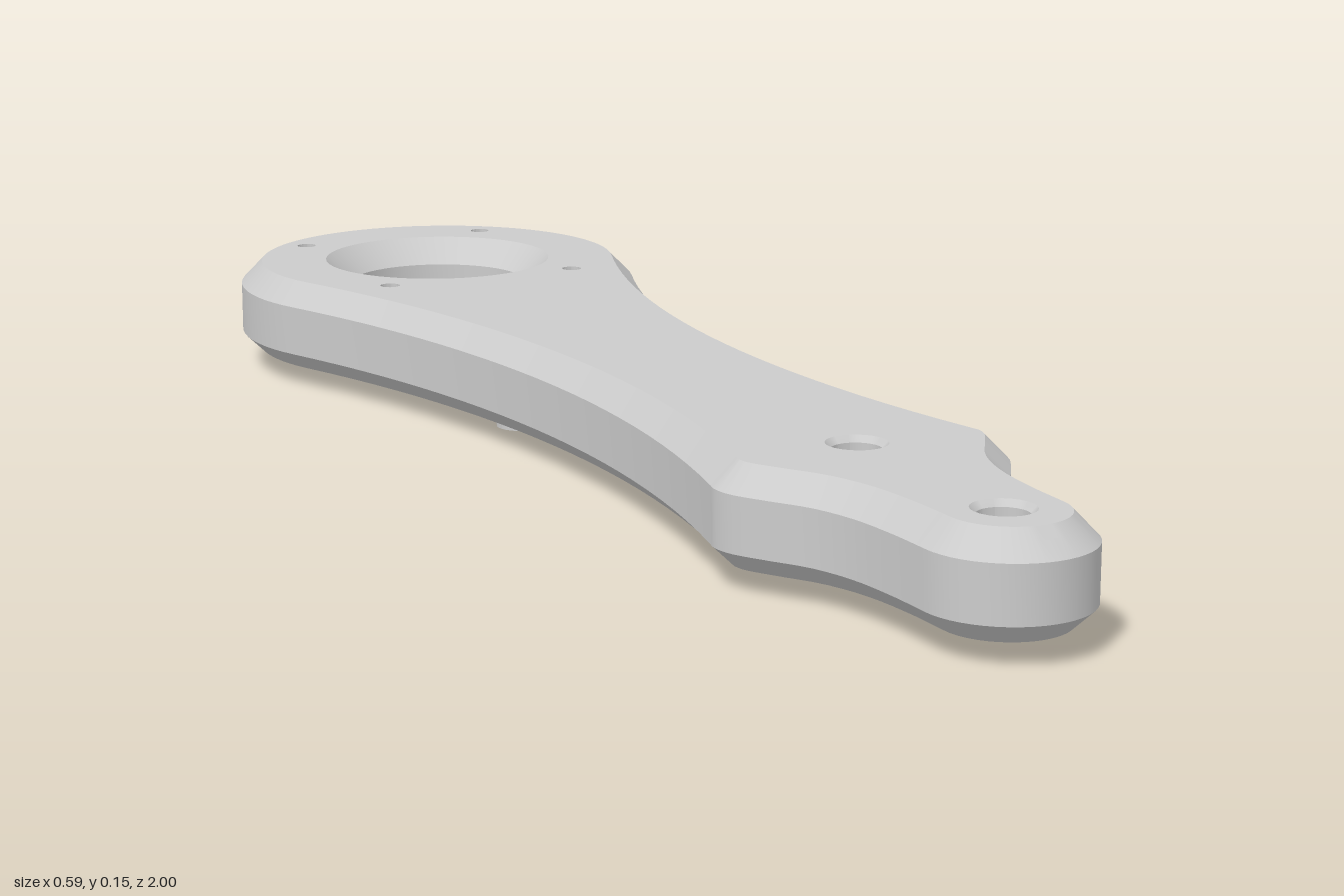
import * as THREE from 'three';
import { mergeGeometries, toCreasedNormals } from 'three/addons/utils/BufferGeometryUtils.js';

const material = new THREE.MeshStandardMaterial({ color: 0xcccccc });
const BOTTOM = 0.027, TOP = 0.154, CREASE = 0.5;
const HEAD = { z: -0.705, r: 0.295 };
const TIP = { z: 0.897, r: 0.103 };

// Points on an arc in the x/z plane
function arc(cx, cz, r, from, to, n) {
  return Array.from({ length: n + 1 }, (_, i) => {
    const a = from + (to - from) * i / n;
    return new THREE.Vector2(cx + r * Math.cos(a), cz + r * Math.sin(a));
  });
}

// Closed outline: head, long concave flank, shoulder, neck, rounded tip, then mirrored
function outline() {
  const wx = 2.088, wz = 0.12, flankR = 1.95;
  const join = Math.atan2(wz - HEAD.z, wx);
  const neck = new THREE.SplineCurve([
    [0.188, 0.56], [0.192, 0.58], [0.186, 0.61], [0.163, 0.65], [0.132, 0.70],
    [0.113, 0.76], [0.105, 0.83], [TIP.r, TIP.z],
  ].map(([x, z]) => new THREE.Vector2(x, z)));
  const half = [
    ...arc(0, HEAD.z, HEAD.r, -Math.PI / 2, join, 24),
    ...arc(wx, wz, flankR, Math.PI + join, Math.PI - 0.227, 24).slice(1),
    ...neck.getPoints(24).slice(1),
    ...arc(0, TIP.z, TIP.r, 0, Math.PI / 2, 12).slice(1),
  ];
  const mirrored = half.slice(1, -1).reverse().map(p => new THREE.Vector2(-p.x, p.y));
  return [...half, ...mirrored];
}

// Move the outline inwards along its normals
function inset(points, d) {
  const n = points.length;
  return points.map((p, i) => {
    const t = points[(i + 1) % n].clone().sub(points[(i + n - 1) % n]).normalize();
    return new THREE.Vector2(p.x - t.y * d, p.y + t.x * d);
  });
}

// Chamfered side wall through stacked rings of equal length
function wall(rings) {
  const n = rings[0].points.length, pos = [], index = [];
  rings.forEach(({ points, y }) => points.forEach(p => pos.push(p.x, y, p.y)));
  for (let k = 0; k < rings.length - 1; k++) {
    for (let i = 0; i < n; i++) {
      const a = k * n + i, b = k * n + (i + 1) % n;
      index.push(a, a + n, b + n, a, b + n, b);
    }
  }
  const g = new THREE.BufferGeometry();
  g.setAttribute('position', new THREE.Float32BufferAttribute(pos, 3));
  g.setIndex(index);
  return toCreasedNormals(g, CREASE);
}

// Flat face with round holes, facing up (1) or down (-1)
function cap(points, holes, y, up) {
  const flip = p => new THREE.Vector2(p.x, -up * p.y);
  const shape = new THREE.Shape(points.map(flip));
  holes.forEach(([x, z, r, n]) => {
    const ring = arc(x, z, r, Math.PI / 2, -1.5 * Math.PI, n).slice(0, -1);
    shape.holes.push(new THREE.Path(ring.map(flip)));
  });
  const g = new THREE.ShapeGeometry(shape).rotateX(-up * Math.PI / 2).translate(0, y, 0).toNonIndexed();
  g.deleteAttribute('uv');
  return g;
}

function turned(name, profile, x, z, segments) {
  const lathe = new THREE.LatheGeometry(profile.map(([r, y]) => new THREE.Vector2(r, y)), segments);
  const mesh = new THREE.Mesh(toCreasedNormals(lathe, CREASE), material);
  mesh.name = name;
  mesh.position.set(x, 0, z);
  return mesh;
}

export function createModel() {
  const group = new THREE.Group();
  group.name = 'leverArm';

  const bores = [[0, HEAD.z, 0.168, 48]];
  const pins = [[0, 0.57], [0, 0.89]];
  const screws = [];
  for (const x of [-0.145, 0.145]) for (const z of [-0.88, -0.535]) screws.push([x, z]);

  // Arm body
  const edge = outline();
  const topEdge = inset(edge, 0.031), bottomEdge = inset(edge, 0.026);
  const sides = wall([
    { points: bottomEdge, y: BOTTOM }, { points: edge, y: 0.052 },
    { points: edge, y: 0.122 }, { points: topEdge, y: TOP },
  ]);
  sides.deleteAttribute('uv');
  const topHoles = [...bores, ...pins.map(p => [...p, 0.038, 24]), ...screws.map(p => [...p, 0.014, 16])];
  const bottomHoles = [...bores, ...pins.map(p => [...p, 0.031, 24])];
  const body = new THREE.Mesh(mergeGeometries([
    sides, cap(topEdge, topHoles, TOP, 1), cap(bottomEdge, bottomHoles, BOTTOM, -1),
  ]), material);
  body.name = 'armBody';
  group.add(body);

  // Large bore, chamfered at both ends
  group.add(turned('mainBore',
    [[0.168, TOP], [0.131, TOP - 0.037], [0.131, BOTTOM + 0.037], [0.168, BOTTOM]], 0, HEAD.z, 48));

  // Countersunk pin holes towards the tip
  pins.forEach(([x, z]) => group.add(turned('pinHole',
    [[0.038, TOP], [0.031, TOP - 0.008], [0.031, BOTTOM]], x, z, 24)));

  // Blind screw holes around the bore
  screws.forEach(([x, z]) => group.add(turned('screwHole',
    [[0.014, TOP], [0.014, TOP - 0.04], [0, TOP - 0.04]], x, z, 16)));

  // Drilled feet under the head
  for (const x of [-0.065, 0.065]) for (const z of [-0.25, -0.898]) {
    group.add(turned('foot',
      [[0, 0.02], [0.011, 0.02], [0.011, 0], [0.035, 0], [0.035, BOTTOM + 0.004]], x, z, 24));
  }
  return group;
}
